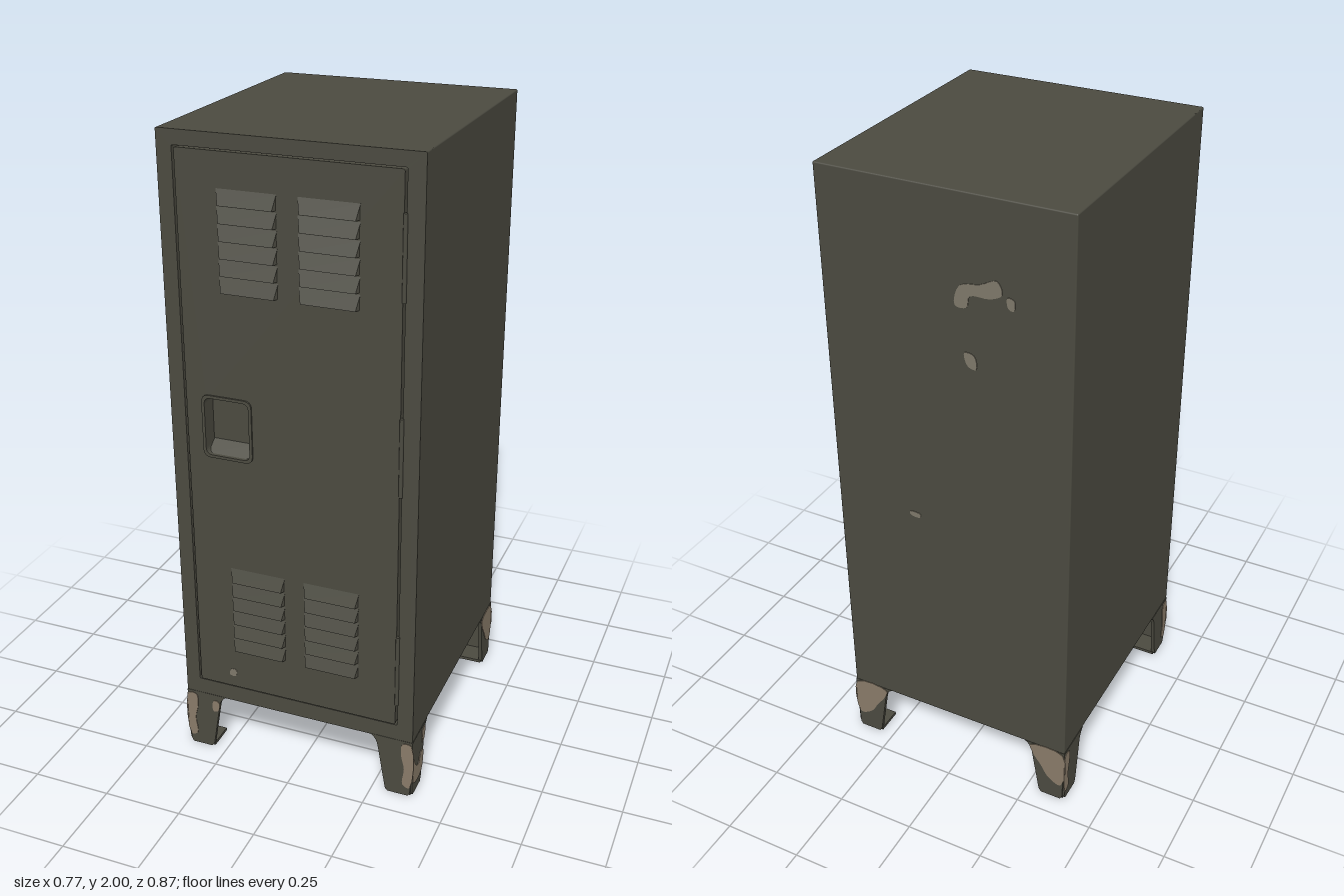
import * as THREE from 'three';
import { RoundedBoxGeometry } from 'three/addons/geometries/RoundedBoxGeometry.js';

function flatColour(name, color) {
  const material = new THREE.MeshStandardMaterial({ color });
  material.name = name;
  return material;
}
const paint = flatColour('olivePaint', 0x4b4a40);
const bare = flatColour('wornMetal', 0x897b69);
const scuff = flatColour('greyScuff', 0x7e786a);

const HALF_W = 0.38, FRONT = 0.418, BACK = -0.434, BASE = 0.2, TOP = 2;

function add(parent, name, geometry, material = paint, x = 0, y = 0, z = 0) {
  const mesh = new THREE.Mesh(geometry, material);
  mesh.name = name;
  mesh.position.set(x, y, z);
  parent.add(mesh);
  return mesh;
}

// Traces a rounded rectangle onto a Shape or Path
function roundRect(target, x0, y0, x1, y1, r) {
  target.moveTo(x0 + r, y0);
  target.lineTo(x1 - r, y0).quadraticCurveTo(x1, y0, x1, y0 + r);
  target.lineTo(x1, y1 - r).quadraticCurveTo(x1, y1, x1 - r, y1);
  target.lineTo(x0 + r, y1).quadraticCurveTo(x0, y1, x0, y1 - r);
  target.lineTo(x0, y0 + r).quadraticCurveTo(x0, y0, x0 + r, y0);
  return target;
}

const extrude = (shape, depth) =>
  new THREE.ExtrudeGeometry(shape, { depth, bevelEnabled: false, curveSegments: 6 });

// Flat irregular paint chip, smoothed through a few points
function chip(points) {
  const curve = new THREE.CatmullRomCurve3(points.map(([x, y]) => new THREE.Vector3(x, y, 0)), true);
  const outline = curve.getPoints(points.length * 4).map(p => new THREE.Vector2(p.x, p.y));
  return extrude(new THREE.Shape(outline), 0.002);
}

// One pressed louvre: flush at the top, standing out at its open lower edge
function louvre(width) {
  const g = new THREE.BoxGeometry(width, 0.044, 0.02);
  const p = g.attributes.position;
  for (let i = 0; i < p.count; i++) {
    if (p.getZ(i) < 0) continue;
    if (p.getY(i) > 0) p.setZ(i, -0.004);
    else p.setX(i, p.getX(i) * 0.9);
  }
  const flat = g.toNonIndexed();
  flat.computeVertexNormals();
  return flat;
}

// Bent angle leg with its outer corner at the origin and arms along -x and -z
function makeLeg(wearA, wearB) {
  const leg = new THREE.Group();
  leg.name = 'leg';
  const side = new THREE.Shape();
  side.moveTo(0, 0.202);
  side.lineTo(-0.138, 0.202);
  side.quadraticCurveTo(-0.118, 0.192, -0.113, 0.165);
  side.lineTo(-0.088, 0.012);
  side.lineTo(-0.08, 0);
  side.lineTo(-0.012, 0);
  side.lineTo(-0.006, 0.012);
  const sheet = extrude(side, 0.012);
  add(leg, 'legFaceA', sheet, paint, 0, 0, -0.012);
  add(leg, 'legFaceB', sheet.clone().rotateY(-Math.PI / 2));
  add(leg, 'footPlate', new THREE.BoxGeometry(0.082, 0.01, 0.082), paint, -0.047, 0.005, -0.047);
  wearA.forEach(c => add(leg, 'legWear', chip(c), bare));
  // The second face carries its wear mirrored about the corner
  wearB.forEach(c => {
    const mesh = add(leg, 'legWear', chip(c.map(([u, y]) => [-u, y])), bare);
    mesh.rotation.y = Math.PI / 2;
  });
  return leg;
}

export function createModel() {
  const model = new THREE.Group();
  model.name = 'locker';

  // Cabinet shell
  const shellFront = 0.36;
  add(model, 'shell', new RoundedBoxGeometry(HALF_W * 2, TOP - BASE, shellFront - BACK, 2, 0.004),
    paint, 0, (TOP + BASE) / 2, (shellFront + BACK) / 2);

  // Front frame around the door opening
  const frame = roundRect(new THREE.Shape(), -HALF_W, BASE, HALF_W, TOP, 0.004);
  frame.holes.push(roundRect(new THREE.Path(), -0.334, 0.255, 0.33, 1.957, 0.005));
  add(model, 'frontFrame', extrude(frame, FRONT - shellFront + 0.004), paint, 0, 0, shellFront - 0.004);

  // Door with the latch recess cut through
  const door = new THREE.Group();
  door.name = 'door';
  model.add(door);
  const panel = roundRect(new THREE.Shape(), -0.326, 0.259, 0.324, 1.953, 0.006);
  panel.holes.push(roundRect(new THREE.Path(), -0.268, 1.062, -0.13, 1.24, 0.02));
  add(door, 'doorPanel', extrude(panel, 0.054), paint, 0, 0, 0.367);
  add(door, 'latchCup', new THREE.BoxGeometry(0.15, 0.19, 0.01), paint, -0.2, 1.151, 0.367);

  // Raised rim and inner slope of the latch recess
  const rim = roundRect(new THREE.Shape(), -0.277, 1.053, -0.121, 1.249, 0.024);
  rim.holes.push(roundRect(new THREE.Path(), -0.268, 1.062, -0.13, 1.24, 0.02));
  add(door, 'latchRim', extrude(rim, 0.008), paint, 0, 0, 0.418);
  const slope = new THREE.Shape([[0, 0], [0.045, 0], [0, 0.03]].map(p => new THREE.Vector2(...p)));
  add(door, 'latchSlope', extrude(slope, 0.136).rotateY(-Math.PI / 2), paint, -0.131, 1.062, 0.37);

  // Four banks of louvres
  for (const y0 of [0.4, 1.564])
    for (const x of [-0.118, 0.118])
      for (let i = 0; i < 6; i++)
        add(door, 'louvre', louvre(0.176), paint, x, y0 + 0.022 + i * 0.049, 0.425);

  // Hinge knuckles
  for (const y of [0.45, 1.15, 1.72])
    add(door, 'hinge', new THREE.CylinderGeometry(0.006, 0.006, 0.24, 10), paint, 0.327, y, 0.419);

  // Worn patches: distance from the leg corner, height
  const strip = [[-0.008, 0.03], [-0.03, 0.04], [-0.026, 0.1], [-0.036, 0.15], [-0.032, 0.19], [-0.004, 0.19]];
  const band = [[-0.01, 0.045], [-0.086, 0.04], [-0.1, 0.11], [-0.075, 0.115], [-0.058, 0.085], [-0.03, 0.1], [-0.01, 0.135]];
  const edge = [[-0.09, 0.19], [-0.115, 0.19], [-0.108, 0.15], [-0.092, 0.14]];
  const upper = [[-0.006, 0.193], [-0.118, 0.193], [-0.108, 0.16], [-0.08, 0.12], [-0.055, 0.08], [-0.012, 0.06]];
  const spot = [[-0.092, 0.14], [-0.108, 0.145], [-0.112, 0.175], [-0.096, 0.182], [-0.088, 0.165]];

  // Legs in order: front left, back left, back right, front right
  const wear = [[[strip], [band, edge]], [[upper], [upper]], [[upper], [strip]], [[strip], [strip, spot]]];
  const corners = [[1, 1], [1, -1], [-1, -1], [-1, 1]];
  corners.forEach(([sx, sz], turns) => {
    const leg = makeLeg(...wear[turns]);
    leg.rotation.y = turns * Math.PI / 2;
    leg.position.set(sx * 0.381, 0, sz > 0 ? 0.419 : -0.4345);
    model.add(leg);
  });

  // Paint chips on the back and door
  const backChips = [
    [[-0.035, 1.68], [-0.05, 1.74], [-0.11, 1.755], [-0.16, 1.775], [-0.175, 1.74], [-0.14, 1.72], [-0.08, 1.715], [-0.07, 1.68]],
    [[-0.19, 1.735], [-0.21, 1.73], [-0.208, 1.7], [-0.192, 1.705]],
    [[-0.06, 1.545], [-0.09, 1.54], [-0.095, 1.5], [-0.07, 1.505]],
    [[0.1, 0.962], [0.135, 0.964], [0.133, 0.952], [0.102, 0.95]],
  ];
  backChips.forEach(c => {
    const mesh = add(model, 'backChip', chip(c.map(([x, y]) => [-x, y])), scuff, 0, 0, BACK);
    mesh.rotation.y = Math.PI;
  });
  add(door, 'doorChip', chip([[-0.225, 0.3], [-0.205, 0.298], [-0.202, 0.32], [-0.218, 0.322]]), scuff, 0, 0, 0.42);
  return model;
}
